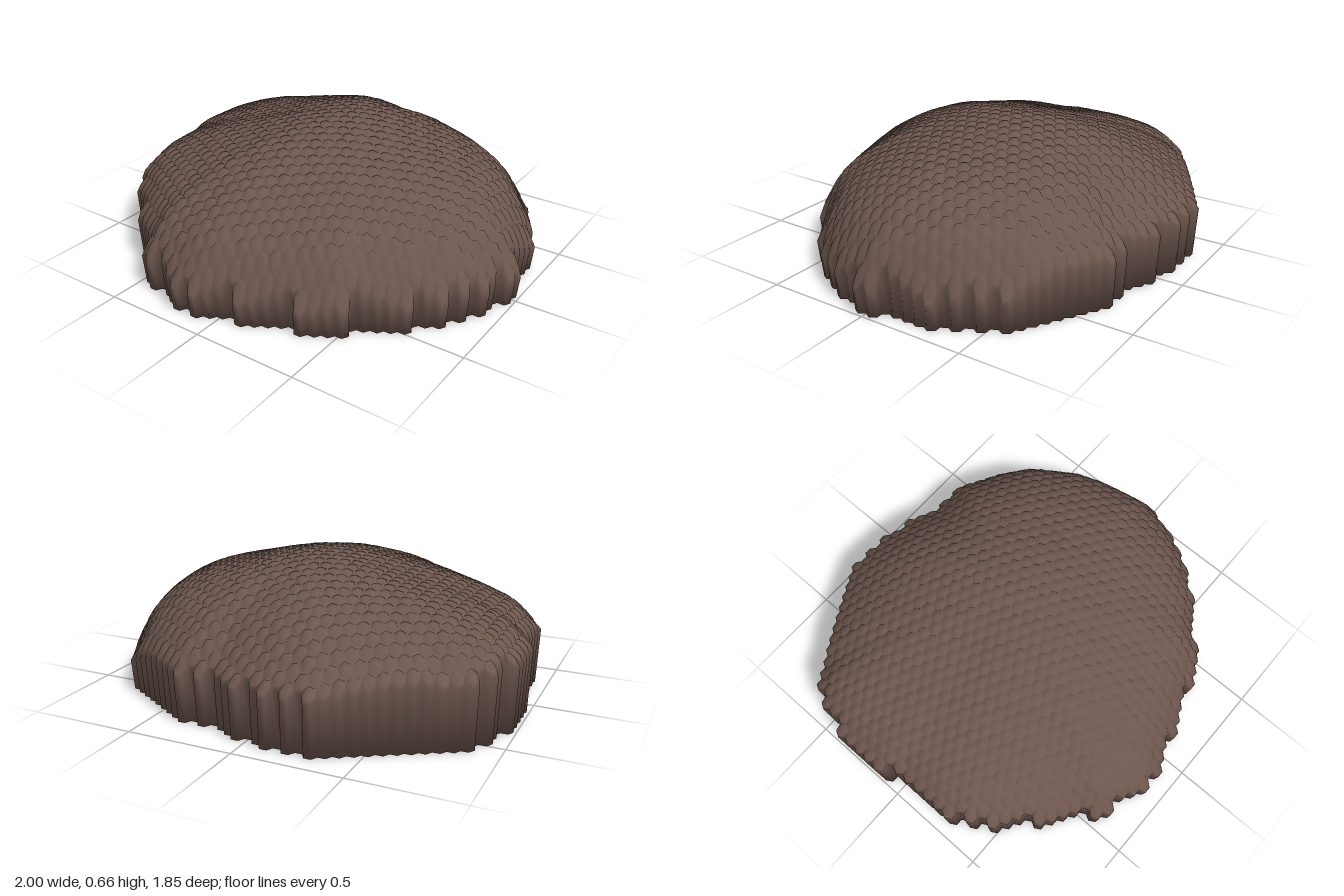
import * as THREE from 'three';

const CELL = 0.0339;  // hexagon side length along x
const ROW = 0.0597;   // spacing of hexagon rows along z
const PEAK_Z = -0.12; // the dome peaks slightly behind the middle

// Smooth curve through [position, height] pairs, clamped at both ends
function profile(points) {
  const xs = points.map(p => p[0]), ys = points.map(p => p[1]);
  const curve = new THREE.CubicInterpolant(xs, ys, 1, new Float32Array(1));
  return t => curve.evaluate(THREE.MathUtils.clamp(t, xs[0], xs[xs.length - 1] - 1e-4))[0];
}

const acrossX = profile([[-1, 0.31], [-0.9, 0.4], [-0.8, 0.45], [-0.6, 0.52], [-0.4, 0.57], [-0.2, 0.625],
  [0.03, 0.655], [0.2, 0.635], [0.4, 0.585], [0.6, 0.53], [0.8, 0.42], [0.9, 0.31], [0.97, 0.18], [1, 0.12]]);
const acrossZ = profile([[-0.93, 0.24], [-0.9, 0.27], [-0.8, 0.37], [-0.7, 0.46], [-0.5, 0.58], [-0.3, 0.64],
  [-0.12, 0.655], [0, 0.65], [0.2, 0.62], [0.4, 0.56], [0.6, 0.465], [0.8, 0.32], [0.88, 0.2], [0.93, 0.11]]);

// Plan outline as x, z pairs
const outline = [[1, 0], [0.98, -0.12], [0.95, -0.26], [0.9, -0.4], [0.82, -0.52], [0.74, -0.63], [0.6, -0.73],
  [0.4, -0.83], [0.2, -0.83], [0.1, -0.87], [-0.1, -0.92], [-0.3, -0.92], [-0.45, -0.86], [-0.6, -0.78],
  [-0.73, -0.7], [-0.79, -0.63], [-0.9, -0.57], [-0.96, -0.48], [-0.99, -0.35], [-0.99, -0.08], [-0.95, 0.02],
  [-0.95, 0.25], [-0.91, 0.4], [-0.82, 0.51], [-0.69, 0.64], [-0.53, 0.76], [-0.45, 0.86], [-0.2, 0.92],
  [-0.1, 0.92], [0.1, 0.86], [0.35, 0.77], [0.5, 0.71], [0.6, 0.61], [0.75, 0.48], [0.88, 0.32], [0.95, 0.18]];

// Distance from the peak as a share of the outline: 0 at the peak, 1 on the rim
function reach(x, z) {
  const dz = z - PEAK_Z;
  for (let i = 0; i < outline.length; i++) {
    const [ax, az0] = outline[i], [bx, bz0] = outline[(i + 1) % outline.length];
    const az = az0 - PEAK_Z, bz = bz0 - PEAK_Z;
    const area = ax * bz - az * bx;
    const u = (ax * dz - az * x) / area, v = (x * bz - dz * bx) / area;
    if (u >= 0 && v >= 0) return u + v;
  }
  return 0;
}

// Dome height: the two profiles blended by direction around the peak
function height(x, z) {
  const s = reach(x, z), dz = z - PEAK_Z;
  const alongX = x * x / (x * x + dz * dz + 1e-9);
  const hx = acrossX(Math.sign(x) * s);
  const hz = acrossZ(PEAK_Z + s * (dz > 0 ? 1.05 : -0.81));
  return hx * alongX + hz * (1 - alongX);
}

export function createModel() {
  const positions = [], faces = [], cornerIds = new Map(), rim = new Map(), footIds = new Map();
  const add = (x, y, z) => positions.push(x, y, z) / 3 - 1;

  // Cell corners lie on a half-step lattice, are shared by neighbours and sit in the grooves
  const corner = (ix, iz) => {
    const key = ix + ',' + iz;
    if (!cornerIds.has(key)) {
      const x = ix * CELL / 2, z = iz * ROW / 2;
      const groove = 0.006 + 0.006 * Math.abs(Math.sin(ix * 12.9 + iz * 78.2));
      cornerIds.set(key, add(x, height(x, z) - groove, z));
    }
    return cornerIds.get(key);
  };
  const cornerX = [2, 1, -1, -2, -1, 1], cornerZ = [0, -1, -1, 0, 1, 1];

  // Domed skin of raised hexagonal cells
  for (let col = -20; col <= 20; col++) {
    for (let row = -17; row <= 17; row++) {
      const ix = col * 3, iz = row * 2 + (col & 1);
      const cx = ix * CELL / 2, cz = iz * ROW / 2;
      if (reach(cx, cz) > 0.98) continue;
      const centre = add(cx, height(cx, cz) + 0.004, cz);
      const outer = [], inner = [];
      for (let i = 0; i < 6; i++) {
        outer.push(corner(ix + cornerX[i], iz + cornerZ[i]));
        const x = cx + cornerX[i] * CELL * 0.36, z = cz + cornerZ[i] * ROW * 0.36;
        inner.push(add(x, height(x, z) + 0.003, z));
      }
      for (let i = 0; i < 6; i++) {
        const j = (i + 1) % 6;
        faces.push(centre, inner[i], inner[j]);
        faces.push(inner[i], outer[i], outer[j], inner[i], outer[j], inner[j]);
        // An edge met from both sides is interior; the rest form the rim
        const back = outer[j] + '_' + outer[i];
        if (rim.has(back)) rim.delete(back);
        else rim.set(outer[i] + '_' + outer[j], [outer[i], outer[j]]);
      }
    }
  }

  // Side skirt down to the ground, closed underneath by a fan
  const foot = id => {
    if (!footIds.has(id)) footIds.set(id, add(positions[id * 3] * 0.988, 0, positions[id * 3 + 2] * 0.988));
    return footIds.get(id);
  };
  const hub = add(0, 0, 0);
  for (const [a, b] of rim.values()) {
    const fa = foot(a), fb = foot(b);
    faces.push(a, fa, fb, a, fb, b, hub, fb, fa);
  }

  const geometry = new THREE.BufferGeometry();
  geometry.setAttribute('position', new THREE.Float32BufferAttribute(positions, 3));
  geometry.setIndex(faces);
  geometry.computeVertexNormals();

  const mound = new THREE.Mesh(geometry, new THREE.MeshStandardMaterial({ color: 0x6d564e }));
  mound.name = 'honeycombMound';
  const group = new THREE.Group();
  group.name = 'mound';
  group.add(mound);
  return group;
}
